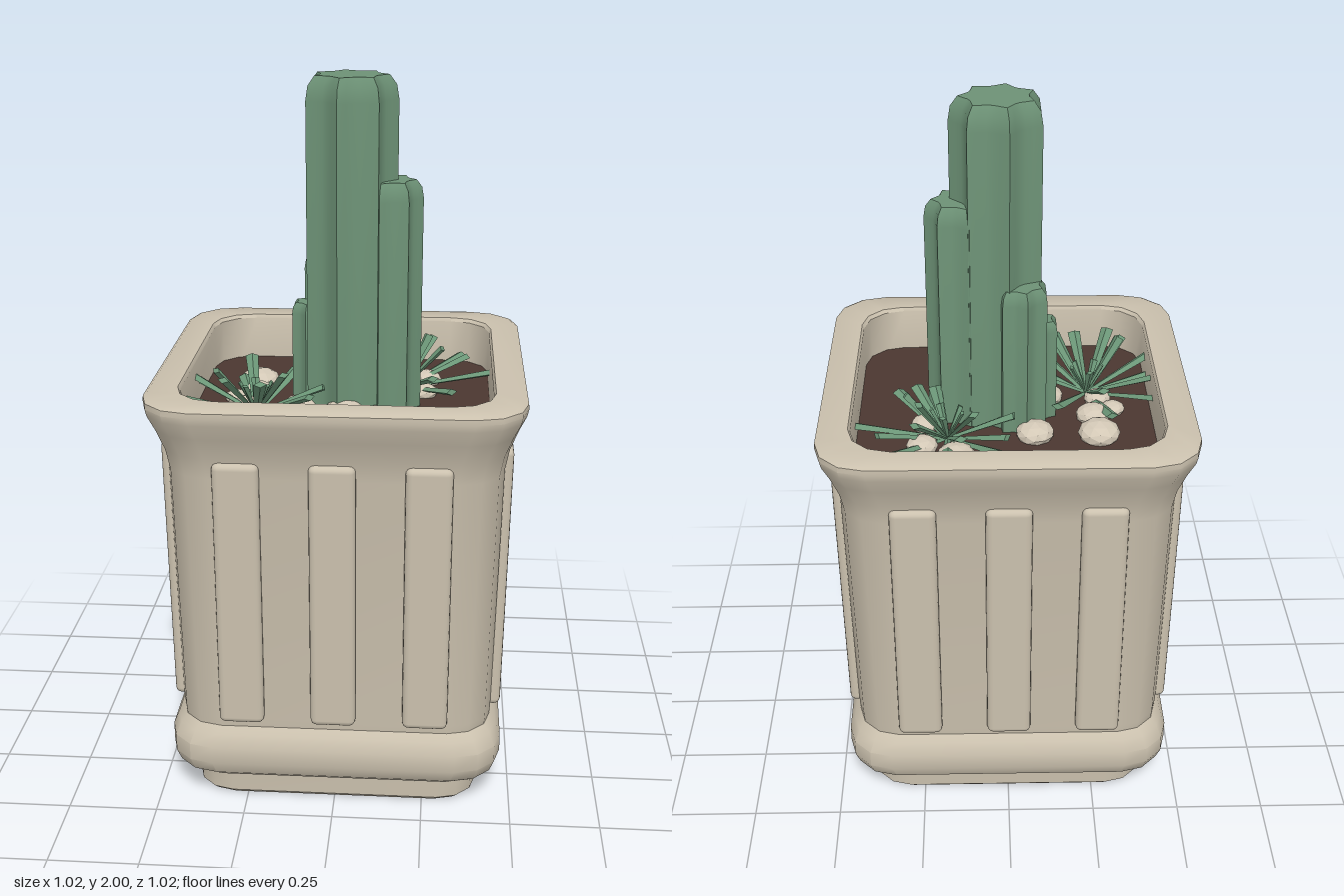
import * as THREE from 'three';
import { mergeGeometries, toCreasedNormals } from 'three/addons/utils/BufferGeometryUtils.js';
import { RoundedBoxGeometry } from 'three/addons/geometries/RoundedBoxGeometry.js';

const mat = (name, color) => {
  const m = new THREE.MeshStandardMaterial({ color });
  m.name = name;
  return m;
};

// Sweeps a unit outline [x, z] through a profile of [scale, y]
function loft(outline, profile) {
  const n = outline.length, pos = [], idx = [];
  for (const [s, y] of profile) for (const [x, z] of outline) pos.push(x * s, y, z * s);
  for (let j = 0; j < profile.length - 1; j++) {
    for (let i = 0; i < n; i++) {
      const a = j * n + i, b = j * n + (i + 1) % n, c = a + n, d = b + n;
      if (profile[j + 1][0] > 0) idx.push(b, c, d);
      if (profile[j][0] > 0) idx.push(a, c, b);
      else idx.splice(idx.length - 3, 3, a, c, d);
    }
  }
  const g = new THREE.BufferGeometry();
  g.setAttribute('position', new THREE.Float32BufferAttribute(pos, 3));
  g.setIndex(idx);
  return toCreasedNormals(g, 0.6);
}

// Square of half-width 1 with three-sided rounded corners
function roundedSquare(r = 0.275) {
  const pts = [];
  for (let q = 0; q < 4; q++) {
    const mid = Math.PI / 4 + q * Math.PI / 2;
    const cx = Math.sign(Math.cos(mid)) * (1 - r), cz = Math.sign(Math.sin(mid)) * (1 - r);
    for (let k = 0; k <= 3; k++) {
      const t = q * Math.PI / 2 + k * Math.PI / 6;
      pts.push([cx + r * Math.cos(t), cz + r * Math.sin(t)]);
    }
  }
  return pts;
}

// Star with sharp ribs and scooped valleys
function ribbedStar(ribs = 7, steps = 5) {
  const pts = [];
  for (let i = 0; i < ribs * steps; i++) {
    const t = i / (ribs * steps) * Math.PI * 2;
    const r = 1 - 0.22 * Math.sin(Math.PI * (i % steps) / steps);
    pts.push([r * Math.cos(t), r * Math.sin(t)]);
  }
  return pts;
}

// Flat-faced blade, narrow at the base and blunt at the tip
function leaf(from, to, width) {
  const dir = to.clone().sub(from), len = dir.length();
  dir.normalize();
  const side = new THREE.Vector3(dir.z, 0, -dir.x).normalize();
  const up = side.clone().cross(dir);
  const g = new THREE.CylinderGeometry(width, width * 0.4, len, 4).toNonIndexed();
  g.scale(1, 1, 0.5);
  g.translate(0, len / 2, 0);
  g.applyMatrix4(new THREE.Matrix4().makeBasis(side, dir, up).setPosition(from));
  g.computeVertexNormals();
  return g;
}

export function createModel() {
  const group = new THREE.Group();
  const stone = mat('potStone', 0xcbc1ae);
  const earth = mat('soil', 0x4b3731);
  const cactusGreen = mat('cactusGreen', 0x6d9276);
  const leafGreen = mat('leafGreen', 0x6b9677);
  const pebbleMat = mat('pebble', 0xd3c8b6);
  const add = (name, geo, material, parent = group) => {
    const m = new THREE.Mesh(geo, material);
    m.name = name;
    parent.add(m);
    return m;
  };
  const square = roundedSquare();

  // Pot: foot, rounded band, tapered body, flared rim and inner wall
  add('pot', loft(square, [
    [0, 0], [0.392, 0], [0.403, 0.012], [0.405, 0.066], [0.392, 0.08],
    [0.435, 0.086], [0.458, 0.105], [0.47, 0.14], [0.47, 0.19], [0.455, 0.225], [0.438, 0.245],
    [0.44, 0.27], [0.455, 1.0], [0.466, 1.06], [0.487, 1.12], [0.506, 1.165],
    [0.51, 1.185], [0.509, 1.2], [0.5, 1.206], [0.426, 1.206], [0.42, 1.196], [0.42, 1.04],
  ]), stone);
  add('soil', loft(square, [[0.42, 1.05], [0.421, 1.07], [0, 1.07]]), earth);

  // Three raised panels on each side
  const panelGeo = new RoundedBoxGeometry(0.125, 0.78, 0.06, 2, 0.018);
  for (let s = 0; s < 4; s++) {
    const side = new THREE.Group();
    side.name = 'panelSide';
    side.rotation.y = s * Math.PI / 2;
    for (const x of [-0.255, 0, 0.255]) {
      const p = add('panel', panelGeo, stone, side);
      p.position.set(x, 0.66, 0.444);
      p.rotation.x = 0.016;
    }
    group.add(side);
  }

  // Cactus columns: x, z, radius, top
  const star = ribbedStar();
  for (const [x, z, r, top] of [
    [0.02, 0.03, 0.13, 2], [0.12, 0.025, 0.1, 1.72],
    [-0.04, -0.045, 0.08, 1.5], [-0.09, 0.01, 0.06, 1.37],
  ]) {
    const h = r * 0.5;
    const c = add('cactusColumn', loft(star, [
      [r, 1.05], [r, top - h], [r * 0.95, top - h * 0.4], [r * 0.8, top], [0, top],
    ]), cactusGreen);
    c.position.set(x, 0, z);
  }

  // Succulents: centre, then leaf tips as x, z, height above the soil
  const plants = [
    [-0.24, 0.12, [
      [-0.36, 0.36, 0.06], [-0.16, 0.345, 0.06], [-0.01, 0.255, 0.06], [-0.075, 0.27, 0.1],
      [-0.145, -0.085, 0.07], [-0.275, -0.07, 0.11], [-0.3, -0.09, 0.04], [-0.45, -0.03, 0.06],
      [-0.44, 0.05, 0.09], [-0.505, 0.19, 0.05], [-0.45, 0.23, 0.08], [-0.31, 0.26, 0.14],
      [-0.21, 0.26, 0.13], [-0.05, 0.12, 0.08], [-0.15, 0.22, 0.145], [-0.34, 0.19, 0.145],
    ]],
    [0.165, -0.135, [
      [0.16, -0.365, 0.07], [0.125, -0.325, 0.11], [0.025, -0.315, 0.06], [0.0, -0.235, 0.06],
      [0.34, -0.32, 0.05], [0.25, -0.27, 0.12], [0.355, -0.235, 0.07], [0.43, -0.145, 0.05],
      [0.28, -0.115, 0.13], [0.31, 0.05, 0.05], [0.255, 0.025, 0.08], [-0.02, -0.15, 0.08],
      [-0.02, -0.1, 0.05], [0.2, -0.05, 0.12], [0.09, -0.23, 0.13], [0.24, -0.2, 0.145],
    ]],
  ];
  for (const [cx, cz, tips] of plants) {
    const base = new THREE.Vector3(cx, 1.07, cz);
    const leaves = tips.map(([x, z, h]) => leaf(base, new THREE.Vector3(x, 1.07 + h, z), 0.019));
    // Short upright heart leaves
    for (let i = 0; i < 5; i++) {
      const a = i * 2.4 + cx;
      leaves.push(leaf(base, new THREE.Vector3(cx + 0.045 * Math.cos(a), 1.16, cz + 0.045 * Math.sin(a)), 0.012));
    }
    add('succulent', mergeGeometries(leaves), leafGreen);
  }

  // Pebbles: x, z, radius
  const pebbleGeo = new THREE.IcosahedronGeometry(1, 1);
  pebbleGeo.computeVertexNormals();
  [
    [-0.26, -0.135, 0.06], [-0.25, -0.03, 0.05], [-0.31, 0.01, 0.035], [-0.27, 0.07, 0.04],
    [-0.08, -0.13, 0.055], [0.14, -0.25, 0.055], [0.235, -0.19, 0.045], [0.23, -0.07, 0.04],
    [0.105, 0.165, 0.05], [0.01, 0.14, 0.06], [-0.04, 0.18, 0.035], [-0.12, 0.085, 0.05],
    [-0.09, 0.145, 0.04],
  ].forEach(([x, z, r], i) => {
    const p = add('pebble', pebbleGeo, pebbleMat);
    p.position.set(x, 1.07 + r * 0.25, z);
    p.scale.set(r, r * 0.6, r);
    p.rotation.y = i * 1.3;
  });
  return group;
}
